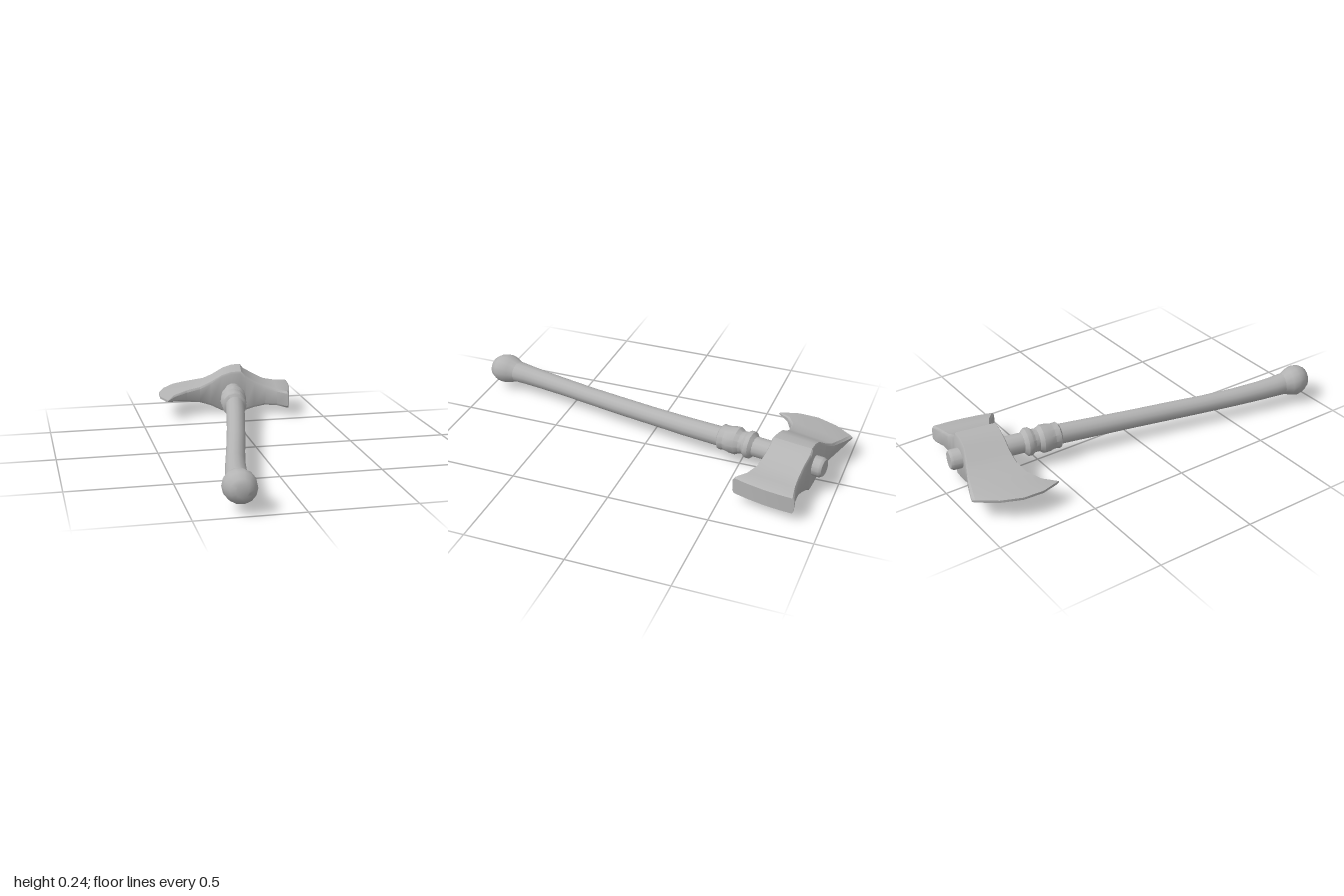
import * as THREE from 'three';
import { toCreasedNormals } from 'three/addons/utils/BufferGeometryUtils.js';

// Skin a series of equal-length closed loops and cap both ends with strips
function loft(loops, crease) {
  const n = loops[0].length, index = [], last = (loops.length - 1) * n;
  for (let i = 0; i < loops.length - 1; i++) {
    for (let j = 0; j < n; j++) {
      const k = (j + 1) % n;
      const a = i * n + j, b = i * n + k, c = b + n, d = a + n;
      index.push(a, d, c, a, c, b);
    }
  }
  for (let k = 0; k < n / 2 - 1; k++) {
    const a = k, b = k + 1, c = n - 2 - k, d = n - 1 - k;
    index.push(a, b, c, a, c, d);
    index.push(last + a, last + c, last + b, last + a, last + d, last + c);
  }
  const geo = new THREE.BufferGeometry();
  geo.setAttribute('position', new THREE.Float32BufferAttribute(loops.flat(2), 3));
  geo.setIndex(index);
  return toCreasedNormals(geo, crease);
}

// Round section across the leaning handle axis
function ring([x, y, z, r], sides = 14) {
  const u = new THREE.Vector3(1, 0, 0.19).normalize();
  return Array.from({ length: sides }, (_, i) => {
    const a = (i / sides) * Math.PI * 2, c = Math.cos(a) * r;
    return [x + u.x * c, y + Math.sin(a) * r, z + u.z * c];
  });
}

// Head section: front edge, back edge, half thickness, centre height, sideways bulge
function headSection([fx, fz, bx, bz, h, cy, bulge = 0]) {
  const bevel = Math.min(0.012, h * 0.5);
  const point = (v, y) => [
    fx + (bx - fx) * v + bulge * 4 * v * (1 - v), cy + y, fz + (bz - fz) * v];
  const across = [0.03, 0.25, 0.5, 0.75, 0.97];
  return [
    point(0, h - bevel), ...across.map(v => point(v, h)), point(1, h - bevel),
    point(1, bevel - h), ...across.map(v => point(1 - v, -h)), point(0, bevel - h)];
}

export function createModel() {
  const group = new THREE.Group();
  const grey = new THREE.MeshStandardMaterial({ color: 0xb4b4b4 });
  grey.name = 'plain grey';
  const add = (name, geo) => {
    const mesh = new THREE.Mesh(geo, grey);
    mesh.name = name;
    group.add(mesh);
  };

  // Rounded knob at the butt of the handle
  add('pommel', loft([
    [-0.283, 0.11, 0.99, 0.03], [-0.283, 0.11, 0.978, 0.052],
    [-0.281, 0.11, 0.945, 0.073], [-0.28, 0.11, 0.91, 0.078],
    [-0.277, 0.109, 0.875, 0.07], [-0.273, 0.108, 0.845, 0.056],
    [-0.268, 0.107, 0.81, 0.05]].map(p => ring(p)), 0.9));

  // Slightly bowed shaft running through the head
  add('handle', loft([
    [-0.273, 0.108, 0.85, 0.056], [-0.263, 0.105, 0.78, 0.052],
    [-0.25, 0.102, 0.7, 0.049], [-0.222, 0.1, 0.55, 0.046],
    [-0.185, 0.1, 0.38, 0.045], [-0.145, 0.103, 0.2, 0.046],
    [-0.103, 0.107, 0, 0.046], [-0.062, 0.112, -0.2, 0.048],
    [-0.02, 0.12, -0.42, 0.05], [0.015, 0.122, -0.63, 0.05],
    [0.07, 0.122, -0.925, 0.05], [0.072, 0.122, -0.937, 0.042]].map(p => ring(p)), 0.6));

  // Stepped collar below the head
  add('collar', loft([
    [-0.028, 0.118, -0.385, 0.046], [-0.027, 0.118, -0.398, 0.065],
    [-0.023, 0.119, -0.425, 0.062], [-0.02, 0.119, -0.45, 0.068],
    [-0.015, 0.12, -0.485, 0.07], [-0.01, 0.12, -0.505, 0.057],
    [-0.007, 0.121, -0.525, 0.057], [-0.003, 0.121, -0.54, 0.069],
    [0.001, 0.122, -0.562, 0.069], [0.006, 0.122, -0.58, 0.048]].map(p => ring(p, 12)), 0.6));

  // Head sweeping from a sharp blade, over the swollen eye, to a blunt flared end
  add('axeHead', loft([
    [-0.355, -0.60, -0.26, -1.0, 0.006, 0.108, -0.07],
    [-0.31, -0.655, -0.215, -0.983, 0.019, 0.108, -0.04],
    [-0.235, -0.695, -0.16, -0.961, 0.032, 0.108, -0.015],
    [-0.16, -0.702, -0.1, -0.935, 0.044, 0.11],
    [-0.1, -0.7, -0.05, -0.912, 0.067, 0.114],
    [-0.037, -0.692, 0.005, -0.893, 0.101, 0.117],
    [0.015, -0.685, 0.055, -0.887, 0.116, 0.119],
    [0.07, -0.674, 0.105, -0.882, 0.119, 0.119],
    [0.092, -0.67, 0.123, -0.879, 0.099, 0.115],
    [0.14, -0.657, 0.18, -0.865, 0.074, 0.108],
    [0.2, -0.64, 0.235, -0.857, 0.053, 0.101],
    [0.26, -0.607, 0.3, -0.858, 0.046, 0.095],
    [0.305, -0.562, 0.365, -0.868, 0.047, 0.09, 0.01],
    [0.312, -0.557, 0.376, -0.87, 0.042, 0.088, 0.012]].map(headSection), 0.6));

  return group;
}
